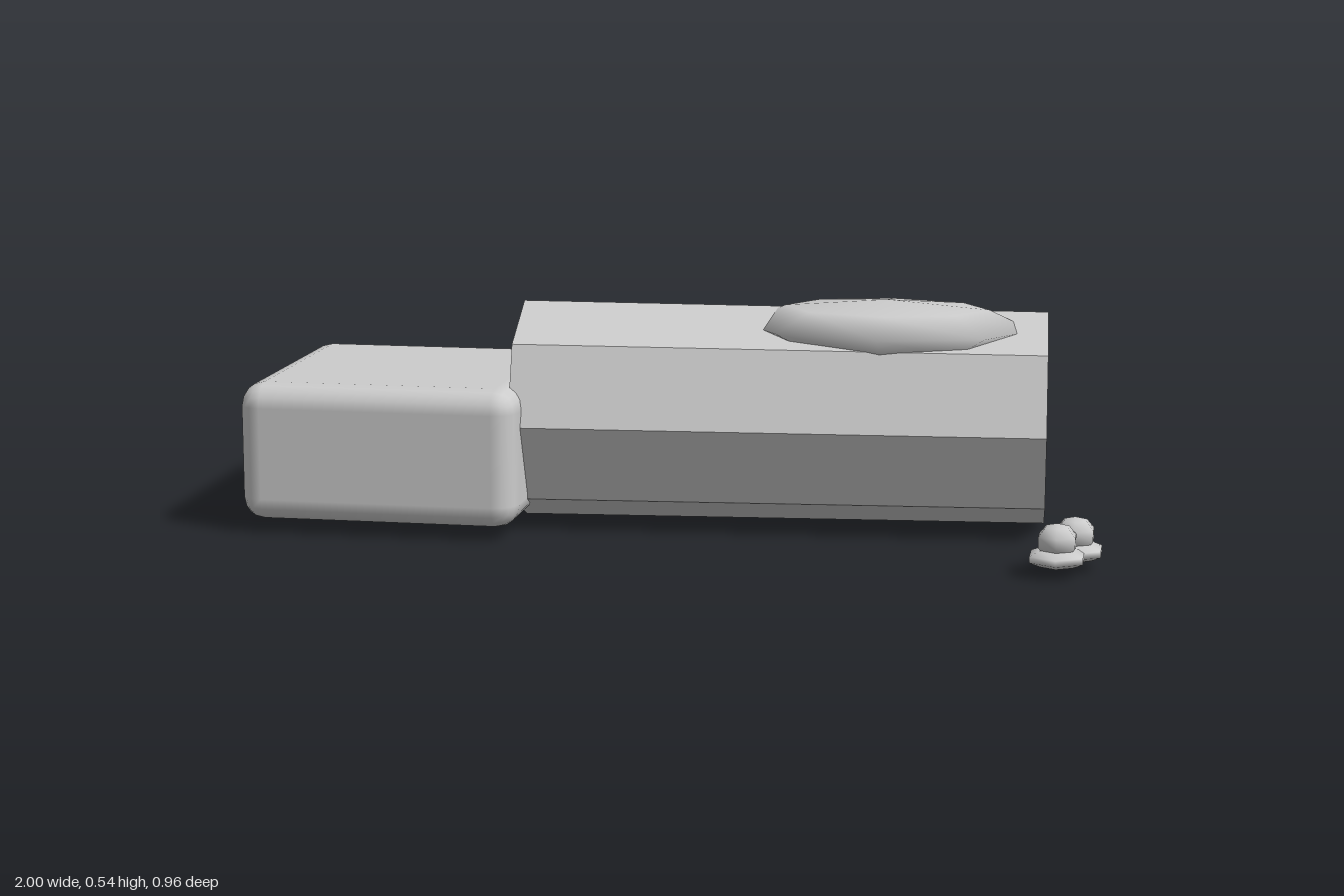
import * as THREE from 'three';
import { RoundedBoxGeometry } from 'three/addons/geometries/RoundedBoxGeometry.js';

export function createModel() {
  const model = new THREE.Group();
  const grey = new THREE.MeshStandardMaterial({ color: 0xcccccc });
  grey.name = 'light grey';

  const add = (parent, name, geometry, x, y, z) => {
    const mesh = new THREE.Mesh(geometry, grey);
    mesh.name = name;
    mesh.position.set(x, y, z);
    parent.add(mesh);
    return mesh;
  };

  // Rounded block at the left end
  add(model, 'block', new RoundedBoxGeometry(0.66, 0.325, 0.66, 2, 0.055), -0.67, 0.1925, 0);

  // Faceted eight-sided log, slightly tapered and turned
  const logGeometry = new THREE.CylinderGeometry(0.252, 0.259, 1.235, 8)
    .rotateZ(-Math.PI / 2).toNonIndexed();
  logGeometry.computeVertexNormals();
  const log = add(model, 'log', logGeometry, 0.231, 0.262, -0.031);
  log.rotation.y = 0.061;

  // Flattened moss patch lying over the log
  const moss = new THREE.SphereGeometry(1, 8, 4).scale(0.34, 0.065, 0.213);
  add(model, 'mossPatch', moss, 0.475, 0.476, -0.022);

  // Small mushrooms: a wide flat disc with a rounder knob above it
  const disc = new THREE.SphereGeometry(1, 6, 5).rotateY(Math.PI / 6).scale(0.071, 0.0225, 0.071);
  const knob = new THREE.SphereGeometry(1, 6, 5).rotateY(Math.PI / 6).scale(0.049, 0.04, 0.049);
  const spots = [[-0.147, -0.412], [0.05, -0.41], [0.938, 0.338], [0.902, 0.412]];
  spots.forEach(([x, z], i) => {
    const mushroom = new THREE.Group();
    mushroom.name = `mushroom${i + 1}`;
    mushroom.position.set(x, 0, z);
    add(mushroom, 'disc', disc, 0, 0.043, 0);
    add(mushroom, 'knob', knob, 0, 0.08, 0);
    model.add(mushroom);
  });

  return model;
}
